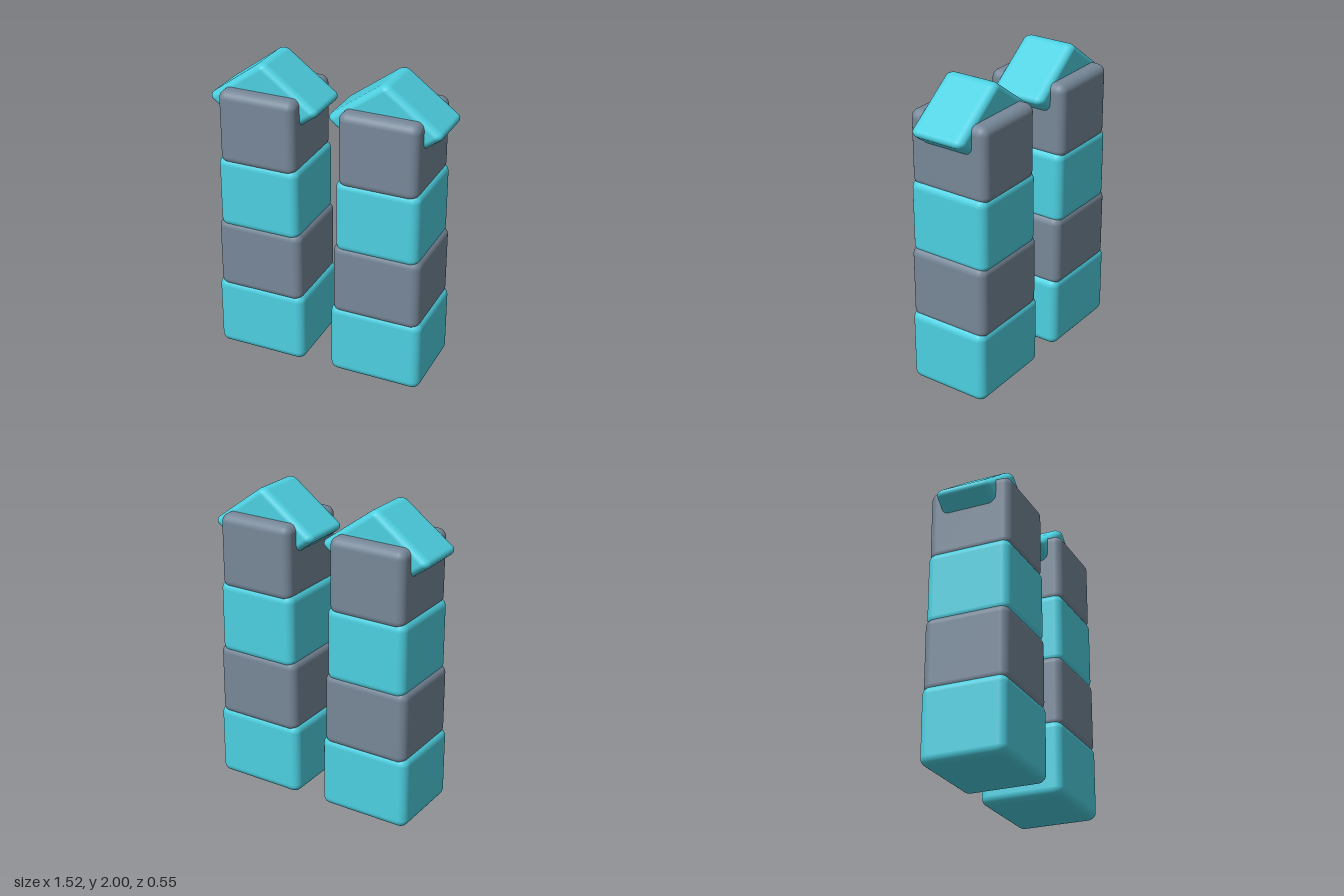
import * as THREE from 'three';
import { RoundedBoxGeometry } from 'three/addons/geometries/RoundedBoxGeometry.js';

const teal = new THREE.MeshStandardMaterial({ color: 0x4dd0e1 });
const slate = new THREE.MeshStandardMaterial({ color: 0x778899 });

function roundedBox(name, w, h, d, r, material) {
  const mesh = new THREE.Mesh(new RoundedBoxGeometry(w, h, d, 5, r), material);
  mesh.name = name;
  return mesh;
}

function createTower(name) {
  const tower = new THREE.Group();
  tower.name = name;

  // Four overlapping blocks, narrowing upward, in alternating colours
  const widths = [0.615, 0.582, 0.55, 0.517];
  const names = ['baseBlock', 'lowerBlock', 'middleBlock', 'topBlock'];
  widths.forEach((w, i) => {
    const block = roundedBox(names[i], w, 0.49, 0.55, 0.055, i % 2 ? slate : teal);
    block.position.y = 0.245 + i * 0.445;
    tower.add(block);
  });

  // Roof: a rounded box turned on its edge and flattened into a diamond
  const roof = roundedBox('roof', 0.54, 0.54, 0.37, 0.05, teal);
  roof.geometry.rotateZ(Math.PI / 4);
  roof.geometry.scale(1, 0.735, 1);
  roof.position.y = 1.735;
  tower.add(roof);
  return tower;
}

export function createModel() {
  const model = new THREE.Group();
  model.name = 'twinTowers';
  for (const [name, side] of [['leftTower', 1], ['rightTower', -1]]) {
    const tower = createTower(name);
    tower.position.x = side * 0.4;
    model.add(tower);
  }
  return model;
}
